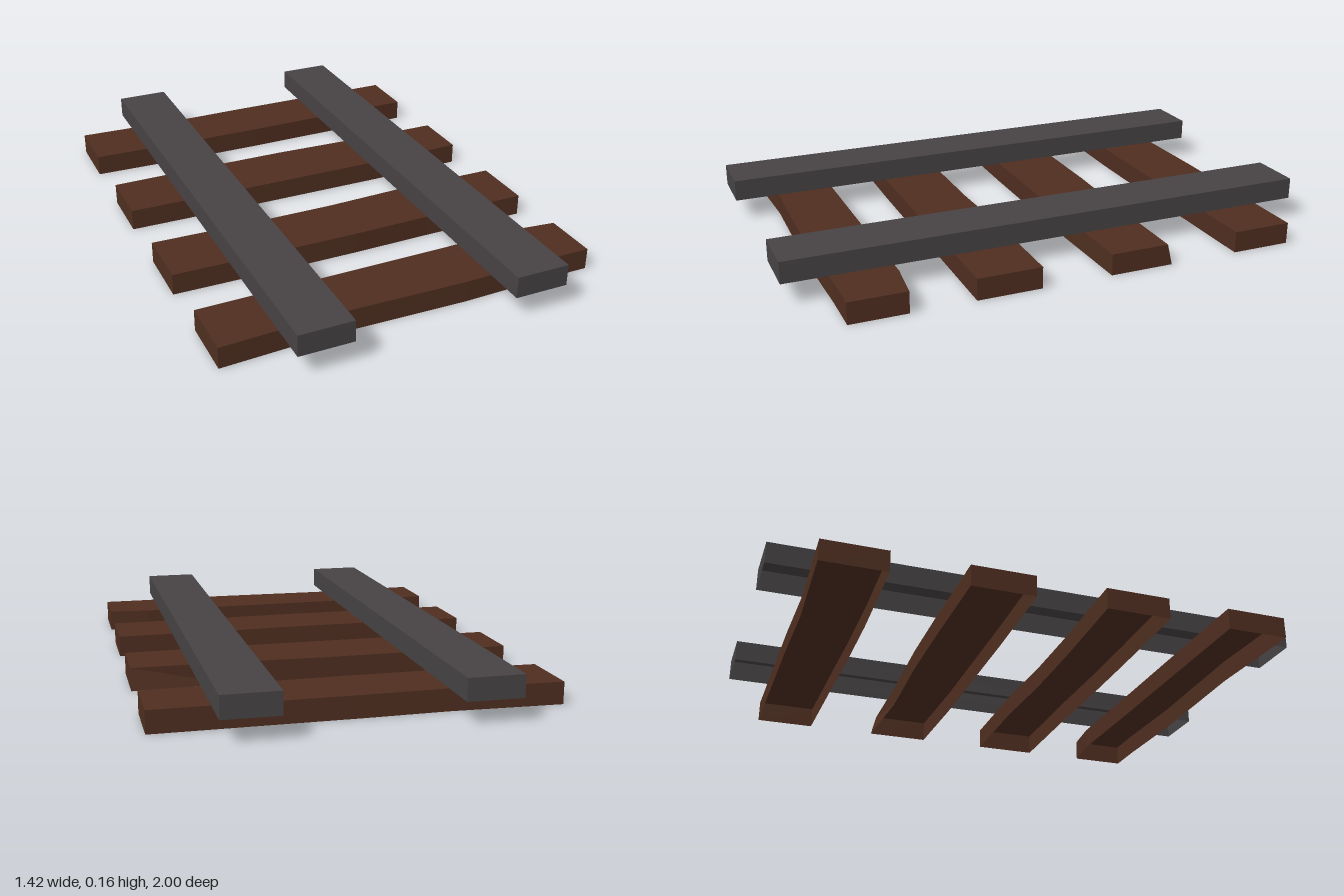
import * as THREE from 'three';

// Straight beam along x, open underneath, lofted through sections [x, backZ, frontZ]
function openBeam(sections, y0, y1) {
  const rings = sections.map(([x, back, front, backTop = back]) => [
    [x, y0, back], [x, y1, backTop], [x, y1, front], [x, y0, front],
  ]);
  const pos = [];
  const quad = (a, b, c, d) => pos.push(...a, ...b, ...c, ...a, ...c, ...d);
  for (let i = 0; i < rings.length - 1; i++) {
    const p = rings[i], q = rings[i + 1];
    for (let k = 0; k < 3; k++) quad(p[k], p[k + 1], q[k + 1], q[k]);
  }
  // End faces
  const s = rings[0], e = rings[rings.length - 1];
  quad(s[0], s[3], s[2], s[1]);
  quad(e[0], e[1], e[2], e[3]);
  const geometry = new THREE.BufferGeometry();
  geometry.setAttribute('position', new THREE.Float32BufferAttribute(pos, 3));
  geometry.computeVertexNormals();
  return geometry;
}

export function createModel() {
  const group = new THREE.Group();
  const material = (color) =>
    new THREE.MeshStandardMaterial({ color, flatShading: true, side: THREE.DoubleSide });
  const wood = material(0x4f2e20);
  const steel = material(0x474345);

  // Wooden sleepers with slightly uneven long edges
  const sleepers = [
    [[-0.71, -0.855, -0.62], [-0.3, -0.84, -0.61], [0, -0.845, -0.61], [0.3, -0.845, -0.615], [0.71, -0.845, -0.62]],
    [[-0.71, -0.345, -0.11], [-0.3, -0.35, -0.105], [0, -0.35, -0.105], [0.35, -0.338, -0.105], [0.71, -0.355, -0.115, -0.335]],
    [[-0.71, 0.15, 0.39], [-0.3, 0.16, 0.395], [0, 0.16, 0.395], [0.3, 0.148, 0.39], [0.71, 0.15, 0.39]],
    [[-0.71, 0.625, 0.855], [-0.3, 0.62, 0.835], [0.2, 0.615, 0.845], [0.55, 0.608, 0.835], [0.71, 0.625, 0.835]],
  ];
  sleepers.forEach((sections, i) => {
    const mesh = new THREE.Mesh(openBeam(sections, 0, 0.08), wood);
    mesh.name = `sleeper${i + 1}`;
    group.add(mesh);
  });

  // Pair of rails running front to back
  for (const side of [-1, 1]) {
    const rail = new THREE.Mesh(openBeam([[-1, -0.1, 0.1], [1, -0.1, 0.1]], 0.08, 0.16), steel);
    rail.rotation.y = Math.PI / 2;
    rail.position.x = side * 0.4;
    rail.name = side > 0 ? 'leftRail' : 'rightRail';
    group.add(rail);
  }
  return group;
}
